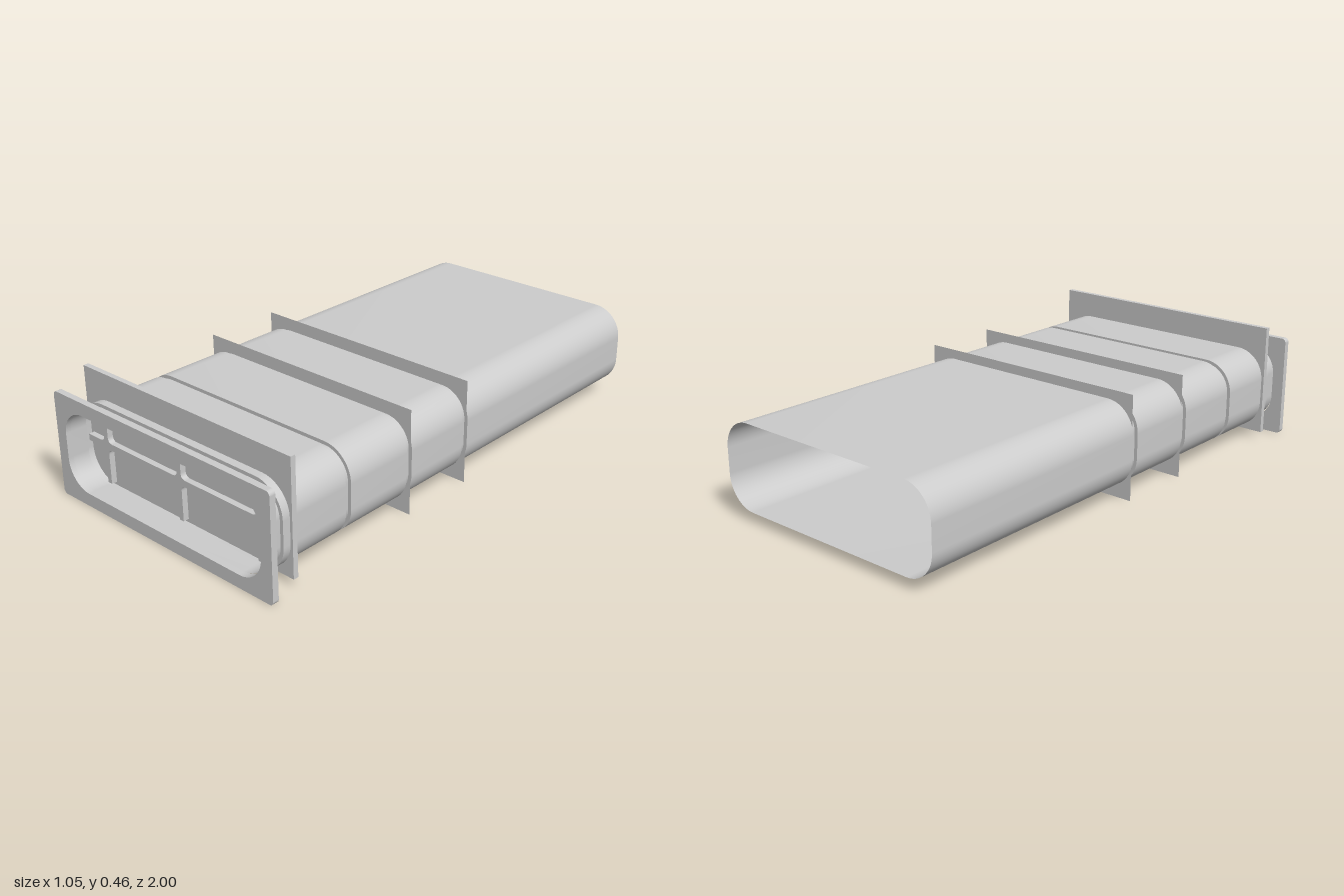
import * as THREE from 'three';

const material = new THREE.MeshStandardMaterial({ color: 0xcccccc, side: THREE.DoubleSide });
const CY = 0.202; // height of the duct axis

function addMesh(parent, name, geometry, x = 0, y = 0, z = 0) {
  const mesh = new THREE.Mesh(geometry, material);
  mesh.name = name;
  mesh.position.set(x, y, z);
  parent.add(mesh);
  return mesh;
}

// Rounded rectangle centred on the origin, counter-clockwise
function roundedRect(path, hw, hh, r) {
  path.moveTo(-hw + r, -hh);
  path.lineTo(hw - r, -hh);
  path.absarc(hw - r, -hh + r, r, -Math.PI / 2, 0);
  path.lineTo(hw, hh - r);
  path.absarc(hw - r, hh - r, r, 0, Math.PI / 2);
  path.lineTo(-hw + r, hh);
  path.absarc(-hw + r, hh - r, r, Math.PI / 2, Math.PI);
  path.lineTo(-hw, -hh + r);
  path.absarc(-hw + r, -hh + r, r, Math.PI, Math.PI * 1.5);
  return path;
}

// Ring of points around the duct: four corner arcs joined by straight sides
function ring({ hw, hh, r }, z) {
  const points = [], steps = 14;
  [[1, -1], [1, 1], [-1, 1], [-1, -1]].forEach(([sx, sy], k) => {
    for (let i = 0; i <= steps; i++) {
      const a = (k - 1 + i / steps) * Math.PI / 2;
      points.push(sx * (hw - r) + r * Math.cos(a), sy * (hh - r) + r * Math.sin(a), z);
    }
  });
  return points;
}

// Wall joining two rings
function band(sizeA, zA, sizeB, zB) {
  const a = ring(sizeA, zA), b = ring(sizeB, zB), n = a.length / 3, index = [];
  for (let i = 0; i < n; i++) {
    const j = (i + 1) % n;
    index.push(i, j, n + i, j, n + j, n + i);
  }
  const g = new THREE.BufferGeometry();
  g.setAttribute('position', new THREE.Float32BufferAttribute([...a, ...b], 3));
  g.setIndex(index);
  g.computeVertexNormals();
  return g;
}

function extrude(shape, depth) {
  return new THREE.ExtrudeGeometry(shape, { depth, bevelEnabled: false, curveSegments: 14 });
}

export function createModel() {
  const model = new THREE.Group();
  model.name = 'duct';

  // Thin-walled sleeve with three grooves and a narrower neck
  const wide = { hw: 0.49, hh: 0.162, r: 0.115 };
  const narrow = { hw: 0.477, hh: 0.149, r: 0.102 };
  const profile = [
    [wide, -1], [wide, 0], [narrow, 0], [narrow, 0.028],
    [wide, 0.028], [wide, 0.305], [narrow, 0.305], [narrow, 0.33],
    [wide, 0.33], [wide, 0.608], [narrow, 0.608], [narrow, 0.632],
    [wide, 0.632], [wide, 0.915], [narrow, 0.915], [narrow, 0.98],
  ];
  const sleeve = new THREE.Group();
  sleeve.name = 'sleeve';
  sleeve.position.y = CY;
  model.add(sleeve);
  for (let i = 0; i + 1 < profile.length; i++) {
    const [sizeA, zA] = profile[i], [sizeB, zB] = profile[i + 1];
    addMesh(sleeve, zA === zB ? 'sleeveStep' : 'sleeveWall', band(sizeA, zA, sizeB, zB));
  }

  // Front flange with a rounded opening
  const flange = roundedRect(new THREE.Shape(), 0.525, 0.2, 0.016);
  const opening = roundedRect(new THREE.Path(), 0.478, 0.15, 0.102);
  flange.holes.push(opening);
  addMesh(model, 'frontFlange', extrude(flange, 0.024), 0, 0.2, 0.976);

  // Sliding gate plate closing the duct
  addMesh(model, 'gatePlate', new THREE.BoxGeometry(1, 0.433, 0.02), 0, 0.2465, 0.875);

  // Filleted crossbars in front of the gate: upper edge, then lower edge
  const w = 0.01, h = 0.0125, r = 0.022, top = 0.149;
  const bars = new THREE.Shape();
  bars.moveTo(-0.477, h);
  for (const s of [1, -1]) {
    for (const x of [-0.38, 0, 0.377]) {
      const c = s * x * 1;
      const cx = s === 1 ? c : [0.377, 0, -0.38][[-0.38, 0, 0.377].indexOf(x)];
      bars.lineTo(cx - s * (w + r), s * h);
      bars.quadraticCurveTo(cx - s * w, s * h, cx - s * w, s * (h + r));
      bars.lineTo(cx - s * w, s * top);
      bars.lineTo(cx + s * w, s * top);
      bars.lineTo(cx + s * w, s * (h + r));
      bars.quadraticCurveTo(cx + s * w, s * h, cx + s * (w + r), s * h);
    }
    bars.lineTo(s * 0.477, s * h);
    bars.lineTo(s * 0.477, -s * h);
  }
  addMesh(model, 'crossbars', extrude(bars, 0.022), 0, CY, 0.885);

  // Thin sealing sheets at the rear edges of two grooves
  for (const z of [0.001, 0.306]) {
    addMesh(model, 'sealingSheet', new THREE.PlaneGeometry(0.97, 0.4), 0, 0.2, z);
  }

  return model;
}
